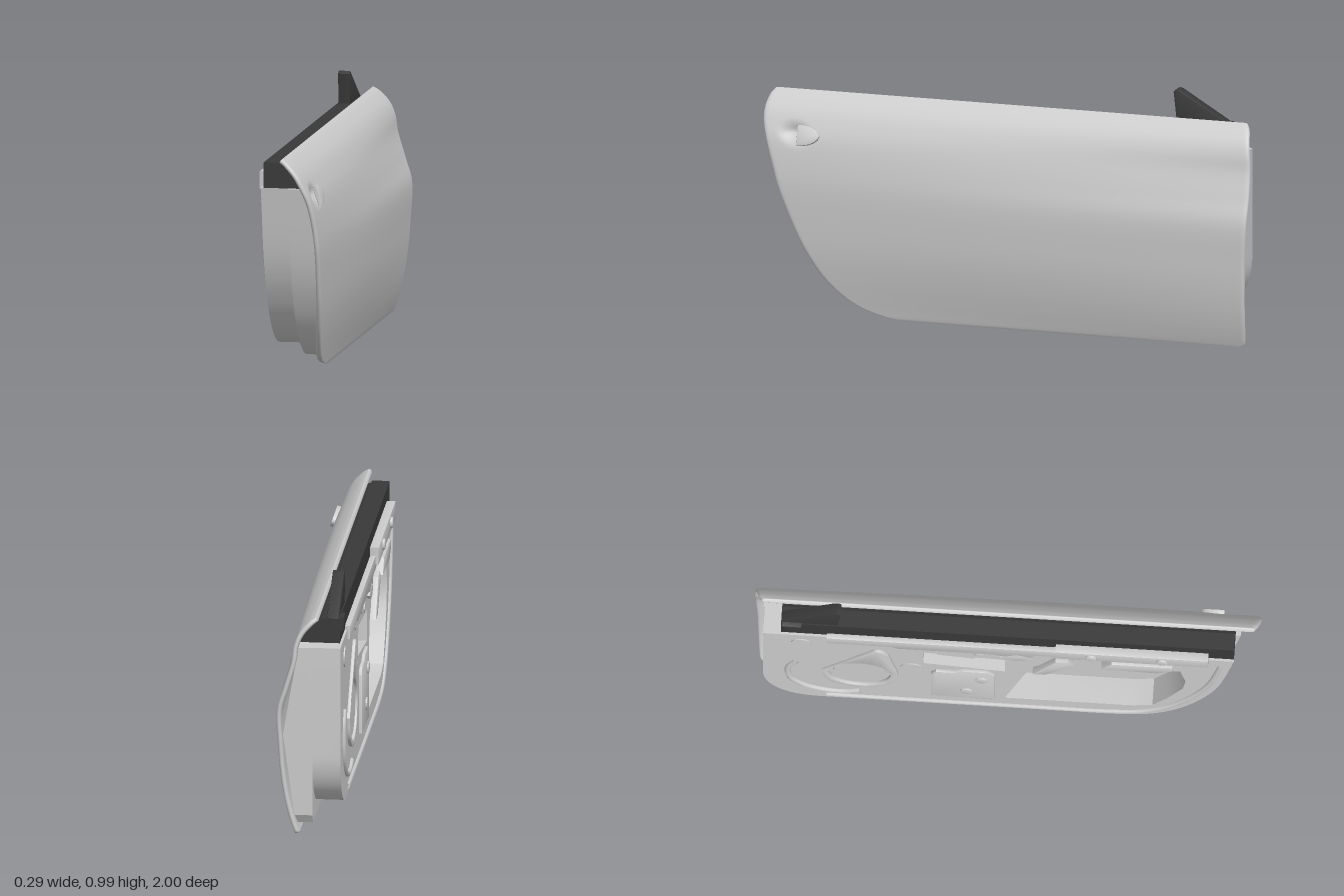
import * as THREE from 'three';
import { toCreasedNormals } from 'three/addons/utils/BufferGeometryUtils.js';

const body = new THREE.MeshStandardMaterial({ color: 0xcccccc, side: THREE.DoubleSide });
body.name = 'body grey';
const trim = new THREE.MeshStandardMaterial({ color: 0x393939 });
trim.name = 'dark trim';

// Outer skin section: y, x and z at the handle end, x and z at the mirror end
const rows = [
  [0, 0.06, 0.4, 0.062, -0.965], [0.01, 0.064, 0.5, 0.066, -0.973], [0.04, 0.07, 0.6, 0.076, -0.977],
  [0.09, 0.08, 0.68, 0.09, -0.98], [0.16, 0.093, 0.75, 0.105, -0.983], [0.25, 0.106, 0.81, 0.118, -0.986],
  [0.35, 0.114, 0.86, 0.126, -0.989], [0.5, 0.12, 0.92, 0.132, -0.997], [0.6, 0.115, 0.95, 0.105, -1],
  [0.7, 0.1, 0.98, 0.076, -0.997], [0.77, 0.075, 0.998, 0.066, -0.992], [0.82, 0.048, 1, 0.046, -0.985],
  [0.86, 0.012, 0.99, 0.012, -0.975], [0.88, -0.015, 0.975, -0.015, -0.96],
];
const edge = (k) => new THREE.CatmullRomCurve3(
  rows.map((r) => new THREE.Vector3(r[k], r[0], r[k + 1])), false, 'catmullrom', 0.5);
const edgeA = edge(1), edgeB = edge(3);

function skinPoint(t, s) {
  const a = edgeA.getPoint(t), b = edgeB.getPoint(t);
  const y = a.y, z = a.z + (b.z - a.z) * s;
  let x = a.x + (b.x - a.x) * s * s;
  x += 0.015 * Math.sin(Math.PI * s) * Math.sin(Math.PI * Math.min(1, Math.max(0, y / 0.88)));
  // finger dish behind the handle
  const d = Math.hypot((z - 0.862) / 0.075, (y - 0.73) / 0.05);
  if (d < 1) x -= 0.022 * (1 - d * d) ** 2;
  return new THREE.Vector3(x, y, z);
}

function skinX(y, z) {
  let lo = 0, hi = 1;
  for (let i = 0; i < 30; i++) {
    const m = (lo + hi) / 2;
    if (edgeA.getPoint(m).y < y) lo = m; else hi = m;
  }
  const za = edgeA.getPoint(lo).z, zb = edgeB.getPoint(lo).z;
  return skinPoint(lo, Math.min(1, Math.max(0, (z - za) / (zb - za)))).x;
}

// Curved panel with a rounded hem all round
function skinGeometry() {
  const samples = (n) => [0, 0.0008, 0.003, 0.007,
    ...Array.from({ length: n }, (_, i) => 0.012 + 0.976 * i / (n - 1)), 0.993, 0.997, 0.9992, 1];
  const S = samples(130), T = samples(80);
  const round = (q) => Math.sqrt(1 - (1 - Math.min(1, Math.min(q, 1 - q) / 0.007)) ** 2);
  const ring = [...S.map((s) => [s, 1]), ...S.slice(1, -1).reverse().map((s) => [s, -1])];
  const pos = [], idx = [], n = ring.length;
  for (const t of T) for (const [s, side] of ring) {
    const p = skinPoint(t, s);
    const d = skinPoint(Math.min(1, t + 0.004), s).sub(skinPoint(Math.max(0, t - 0.004), s));
    const h = 0.01 * side * round(s) * round(t) / Math.hypot(d.x, d.y);
    pos.push(p.x - 0.004 + d.y * h, p.y - d.x * h, p.z);
  }
  for (let i = 0; i < T.length - 1; i++) for (let j = 0; j < n; j++) {
    const k = (j + 1) % n, a = i * n + j, b = i * n + k;
    idx.push(a, b, a + n, b, b + n, a + n);
  }
  const g = new THREE.BufferGeometry();
  g.setAttribute('position', new THREE.Float32BufferAttribute(pos, 3));
  g.setIndex(idx);
  g.computeVertexNormals();
  return g;
}

const V = (p) => new THREE.Vector2(p[0], p[1]);
const poly = (pts) => new THREE.Shape(pts.map(V));
const blob = (pts) => new THREE.Shape(new THREE.SplineCurve([...pts, pts[0]].map(V)).getPoints(pts.length * 6).slice(0, -1));
const disc = (z, y, r) => new THREE.Shape().absarc(z, y, r, 0, Math.PI * 2);

// Shapes are drawn in (z, y) and extruded from x0 towards -x
function slab(shape, x0, depth, bevel = 0) {
  const g = new THREE.ExtrudeGeometry(shape, {
    depth: depth - bevel, curveSegments: 20, bevelEnabled: bevel > 0,
    bevelThickness: bevel, bevelSize: bevel, bevelOffset: -bevel, bevelSegments: 2,
  });
  g.rotateY(-Math.PI / 2).translate(x0, 0, 0);
  return toCreasedNormals(g, 0.6);
}

export function createModel() {
  const model = new THREE.Group();
  const add = (name, geo, mat = body) => {
    const m = new THREE.Mesh(geo, mat);
    m.name = name;
    model.add(m);
    return m;
  };

  add('outerSkin', skinGeometry());

  // Handle flap, tilted to lie on the skin
  const flap = new THREE.Shape();
  flap.moveTo(0.85, 0.69);
  flap.lineTo(0.85, 0.77);
  flap.bezierCurveTo(0.79, 0.775, 0.76, 0.745, 0.76, 0.73);
  flap.bezierCurveTo(0.76, 0.715, 0.79, 0.685, 0.85, 0.69);
  const flapGeo = slab(flap, 0, 0.014, 0.004).translate(0, -0.73, 0);
  const handle = add('handleFlap', flapGeo);
  handle.rotation.z = Math.atan2(skinX(0.67, 0.76) - skinX(0.79, 0.76), 0.12);
  handle.position.set(skinX(0.73, 0.76) + 0.017, 0.73, 0);

  // Shell wall reaching from the inner body out to the skin
  const shellPts = [[-0.955, 0.76], [-0.955, 0.4], [-0.95, 0.07], [-0.93, 0.035], [-0.4, 0.035], [0, 0.035],
    ...new THREE.SplineCurve([[0.43, 0.035], [0.57, 0.06], [0.7, 0.15], [0.79, 0.28], [0.86, 0.46], [0.92, 0.76]].map(V))
      .getPoints(24).map((p) => [p.x, p.y]), [0.5, 0.76], [0, 0.76], [-0.5, 0.76]];
  const wallPos = [], wallIdx = [], n = shellPts.length;
  shellPts.forEach(([z, y], i) => {
    for (let k = 0; k <= 6; k++) wallPos.push((skinX(y, z) - 0.014) * k / 6, y, z);
    for (let k = 0; k < 6; k++) {
      const a = i * 7 + k, b = ((i + 1) % n) * 7 + k;
      wallIdx.push(a, a + 1, b, a + 1, b + 1, b);
    }
  });
  const wall = new THREE.BufferGeometry();
  wall.setAttribute('position', new THREE.Float32BufferAttribute(wallPos, 3));
  wall.setIndex(wallIdx);
  add('shellWall', toCreasedNormals(wall, 0.5));
  add('shellBack', new THREE.ShapeGeometry(poly(shellPts)).rotateY(-Math.PI / 2));

  // Inner body with service opening and pull pocket
  const inner = new THREE.Shape();
  inner.moveTo(-0.95, 0.76);
  inner.lineTo(-0.95, 0.32);
  inner.bezierCurveTo(-0.95, 0.17, -0.86, 0.08, -0.73, 0.08);
  inner.lineTo(0.42, 0.08);
  inner.splineThru([[0.55, 0.1], [0.66, 0.165], [0.76, 0.29], [0.84, 0.47], [0.9, 0.76]].map(V));
  inner.holes.push(
    poly([[0, 0.19], [0.5, 0.19], [0.58, 0.21], [0.64, 0.3], [0.7, 0.42], [0.71, 0.5], [0.69, 0.61],
      [0.6, 0.61], [0.56, 0.66], [0.32, 0.69], [0.2, 0.65], [0.1, 0.55]]),
    poly([[-0.32, 0.53], [0, 0.49], [0, 0.62], [-0.32, 0.65]]));
  add('innerBody', slab(inner, 0, 0.11));
  add('pocketFloor', slab(poly([[-0.33, 0.48], [0.01, 0.48], [0.01, 0.66], [-0.33, 0.66]]), -0.04, 0.02));
  add('pocketStep', slab(poly([[-0.27, 0.58], [-0.12, 0.56], [-0.12, 0.64], [-0.27, 0.645]]), -0.05, 0.04));

  // Raised rim along the bottom and the sloping end
  const path = (pts) => new THREE.CatmullRomCurve3(pts.map(([z, y]) => new THREE.Vector3(-0.109, y, z)));
  add('lowerRim', new THREE.TubeGeometry(path([[-0.7, 0.115], [-0.3, 0.112], [0.1, 0.112], [0.4, 0.115],
    [0.53, 0.135], [0.63, 0.2], [0.73, 0.33], [0.8, 0.48], [0.85, 0.7]]), 60, 0.012, 8));
  add('curvedRib', new THREE.TubeGeometry(path([[-0.82, 0.47], [-0.85, 0.4], [-0.84, 0.28], [-0.76, 0.19],
    [-0.64, 0.16], [-0.57, 0.18]]), 40, 0.013, 8));

  // Speaker with its teardrop surround
  const drop = blob([[-0.72, 0.4], [-0.69, 0.3], [-0.57, 0.24], [-0.45, 0.3], [-0.42, 0.4], [-0.44, 0.52],
    [-0.46, 0.62], [-0.5, 0.655], [-0.54, 0.62], [-0.62, 0.52]]);
  drop.holes.push(disc(-0.57, 0.39, 0.12));
  add('speakerSurround', slab(drop, -0.109, 0.014, 0.005));
  add('speakerCover', slab(disc(-0.57, 0.39, 0.105), -0.109, 0.006));

  // Round covers
  for (const [z, y, r] of [[-0.8, 0.68, 0.04], [-0.366, 0.473, 0.045], [-0.42, 0.7, 0.03], [-0.2, 0.69, 0.022],
    [-0.1, 0.66, 0.02], [0.73, 0.69, 0.03]]) add('roundCover', slab(disc(z, y, r), -0.109, 0.006));

  // Mounting plate with two bolts, latch levers and brackets
  add('mountingPlate', slab(poly([[-0.29, 0.2], [-0.05, 0.19], [-0.04, 0.21], [-0.04, 0.46], [-0.07, 0.49],
    [-0.17, 0.49], [-0.2, 0.47], [-0.27, 0.47], [-0.29, 0.44]]), -0.109, 0.014, 0.005));
  for (const [z, y] of [[-0.09, 0.41], [-0.15, 0.28]]) add('plateBolt', slab(disc(z, y, 0.025), -0.12, 0.009, 0.003));
  add('ovalCover', slab(blob([[-0.02, 0.68], [0.05, 0.65], [0.1, 0.68], [0.05, 0.715]]), -0.109, 0.014, 0.004));
  add('lever', slab(poly([[0.11, 0.54], [0.16, 0.54], [0.27, 0.66], [0.25, 0.7], [0.2, 0.69]]), -0.105, 0.03, 0.008));
  add('openingBracket', slab(poly([[0.38, 0.64], [0.6, 0.63], [0.66, 0.66], [0.66, 0.7], [0.42, 0.7]]), -0.1, 0.032, 0.004));

  // Upper rails
  add('upperRail', slab(poly([[-0.7, 0.72], [-0.45, 0.72], [-0.42, 0.705], [-0.05, 0.705], [0, 0.69], [0.1, 0.69],
    [0.12, 0.72], [0.22, 0.72], [0.22, 0.775], [-0.7, 0.775]]), -0.1, 0.022, 0.003));
  const rail = poly([[0.2, 0.74], [0.8, 0.74], [0.8, 0.81], [0.2, 0.81]]);
  add('rearRail', slab(rail, -0.098, 0.037, 0.003));
  for (const z of [0.34, 0.62]) add('railBolt', slab(disc(z, 0.78, 0.022), -0.13, 0.015, 0.004));

  // Dark window channel, mirror mount and its foot
  const channel = poly([[-0.1, 0.76], [0.07, 0.76], [0.045, 0.8], [0.005, 0.84], [-0.028, 0.852], [-0.03, 0.86], [-0.1, 0.86]]);
  add('windowChannel', new THREE.ExtrudeGeometry(channel, { depth: 1.78, bevelEnabled: false }).translate(0, 0, -0.88), trim);
  add('mirrorMount', slab(poly([[-0.66, 0.84], [-0.645, 0.98], [-0.66, 0.99], [-0.675, 0.985], [-0.88, 0.86],
    [-0.88, 0.84]]), -0.052, 0.043, 0.003), trim);
  add('mirrorFoot', slab(poly([[-0.875, 0.812], [-0.8, 0.812], [-0.8, 0.862], [-0.875, 0.862]]), -0.06, 0.055, 0.004), trim);

  return model;
}
